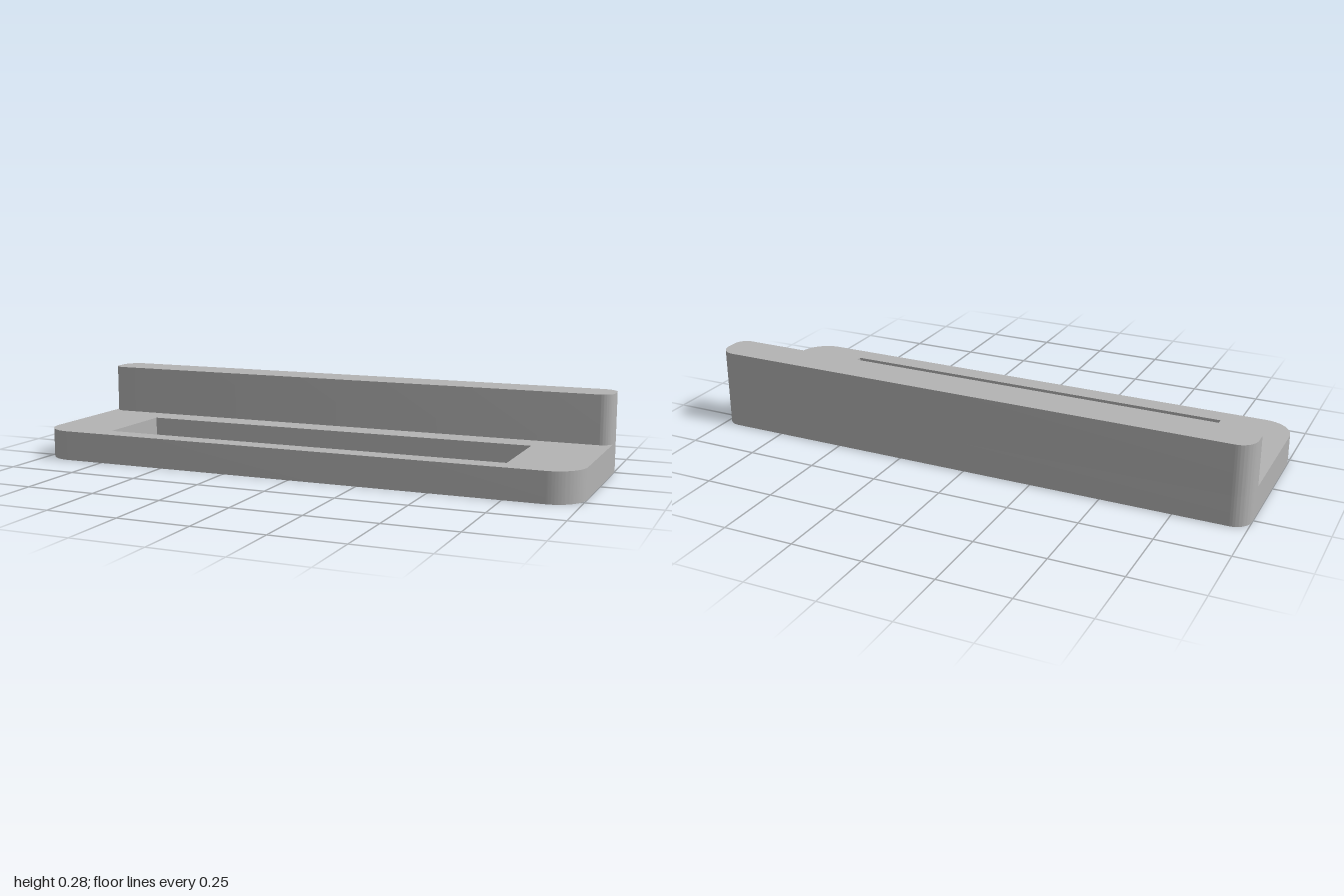
import * as THREE from 'three';
import { toCreasedNormals } from 'three/addons/utils/BufferGeometryUtils.js';

// Plan outline with separate corner radii at the front (+z) and back (-z); shape y is -z.
function roundedPlan(halfWidth, zBack, zFront, rBack, rFront) {
  const s = new THREE.Shape();
  const f = -zFront, b = -zBack, w = halfWidth;
  s.moveTo(-w + rFront, f);
  s.absarc(w - rFront, f + rFront, rFront, -Math.PI / 2, 0);
  s.absarc(w - rBack, b - rBack, rBack, 0, Math.PI / 2);
  s.absarc(-w + rBack, b - rBack, rBack, Math.PI / 2, Math.PI);
  s.absarc(-w + rFront, f + rFront, rFront, Math.PI, Math.PI * 1.5);
  s.closePath();
  return s;
}

// Raise a plan outline from y0 to y1
function slab(name, shape, y0, y1, material) {
  const geo = new THREE.ExtrudeGeometry(shape, { depth: y1 - y0, bevelEnabled: false, curveSegments: 16 });
  geo.rotateX(-Math.PI / 2);
  geo.translate(0, y0, 0);
  const mesh = new THREE.Mesh(toCreasedNormals(geo, 0.5), material);
  mesh.name = name;
  return mesh;
}

export function createModel() {
  const group = new THREE.Group();
  group.name = 'slottedBracket';
  const grey = new THREE.MeshStandardMaterial({ color: 0xb3b3b3 });
  grey.name = 'grey';

  const zBack = -0.318, zFront = 0.318, backRadius = 0.06;
  const baseTop = 0.107, wallTop = 0.284;

  // Base plate with a rectangular window
  const plan = roundedPlan(1, zBack, zFront, backRadius, 0.11);
  const slot = new THREE.Path();
  slot.moveTo(-0.745, -0.245);
  slot.lineTo(-0.745, 0.075);
  slot.lineTo(0.745, 0.075);
  slot.lineTo(0.745, -0.245);
  slot.closePath();
  plan.holes.push(slot);
  group.add(slab('basePlate', plan, 0, baseTop, grey));

  // Upright wall along the back edge
  const wallPlan = roundedPlan(1, zBack, -0.177, backRadius, 0.045);
  group.add(slab('backWall', wallPlan, baseTop, wallTop, grey));

  return group;
}
